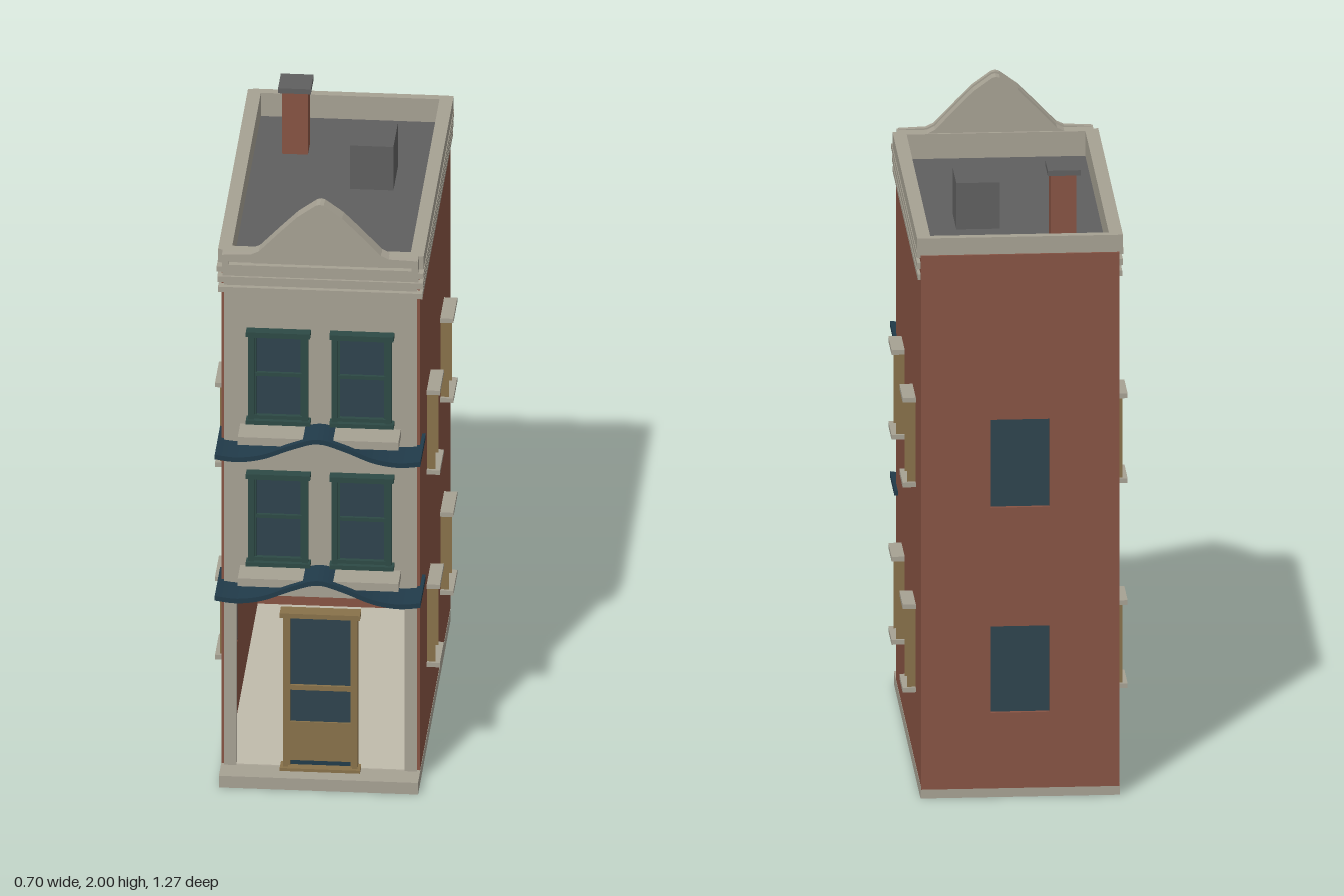
import * as THREE from 'three';

const mat = (name, color) => {
  const m = new THREE.MeshStandardMaterial({ color });
  m.name = name;
  return m;
};

export function createModel() {
  const brick = mat('brick', 0x875343);
  const stone = mat('stone', 0xa6a193);
  const pale = mat('pale floor', 0xc0bbab);
  const roofGrey = mat('roof grey', 0x5f5f5f);
  const glass = mat('window glass', 0x2e434d);
  const green = mat('dark green paint', 0x2d4a45);
  const tan = mat('tan wood', 0x88714a);
  const navy = mat('navy canopy', 0x213b4a);

  const root = new THREE.Group();
  root.name = 'townhouse';
  const group = (name, parent = root) => {
    const g = new THREE.Group();
    g.name = name;
    parent.add(g);
    return g;
  };
  const add = (name, geo, material, parent = root) => {
    const m = new THREE.Mesh(geo, material);
    m.name = name;
    parent.add(m);
    return m;
  };
  // box given by its limits on each axis
  const box = (name, material, [x0, x1], [y0, y1], [z0, z1], parent = root) => {
    const m = add(name, new THREE.BoxGeometry(x1 - x0, y1 - y0, z1 - z0), material, parent);
    m.position.set((x0 + x1) / 2, (y0 + y1) / 2, (z0 + z1) / 2);
    return m;
  };
  const rect = (Type, x0, x1, y0, y1) => new Type(
    [[x0, y0], [x1, y0], [x1, y1], [x0, y1]].map(p => new THREE.Vector2(...p)));
  const extrude = (shape, depth) => new THREE.ExtrudeGeometry(shape, { depth, bevelEnabled: false });
  // closed strip below a line of points
  const band = (pts, drop) => new THREE.Shape([
    ...pts, ...pts.slice().reverse().map(p => new THREE.Vector2(p.x, p.y - drop))]);

  // base and interior floor
  box('base', stone, [-0.31, 0.31], [0, 0.04], [-0.63, 0.6]);
  box('interiorFloor', pale, [-0.29, 0.29], [0.038, 0.043], [-0.615, 0.515]);

  // side walls with window openings
  const storeys = [[0.29, 0.545], [0.955, 1.215]];
  const windowZ = [0.185, -0.325];
  for (const s of [1, -1]) {
    const side = s > 0 ? 'left' : 'right';
    const wall = rect(THREE.Shape, -0.51, 0.63, 0.03, 1.76);
    for (const [y0, y1] of storeys) for (const z of windowZ) {
      wall.holes.push(rect(THREE.Path, -z - 0.052, -z + 0.052, y0, y1));
    }
    const w = add(side + 'Wall', extrude(wall, 0.02), brick);
    w.rotation.y = Math.PI / 2;
    w.position.x = s > 0 ? 0.289 : -0.309;

    // side window frames
    for (const [y0, y1] of storeys) for (const z of windowZ) {
      const g = group(side + 'Window');
      const span = (a, b) => s > 0 ? [a, b] : [-b, -a];
      box('pane', glass, span(0.29, 0.3), [y0 - 0.01, y1 + 0.01], [z - 0.06, z + 0.06], g);
      for (const d of [-1, 1]) {
        const c = z + d * 0.058;
        box('jamb', tan, span(0.298, 0.335), [y0, y1], [c - 0.007, c + 0.007], g);
      }
      box('lintel', stone, span(0.298, 0.35), [y1, y1 + 0.015], [z - 0.075, z + 0.075], g);
      box('sill', stone, span(0.298, 0.35), [y0 - 0.015, y0], [z - 0.075, z + 0.075], g);
    }
  }

  // back wall with two recessed windows
  const back = rect(THREE.Shape, -0.309, 0.309, 0.03, 1.76);
  for (const [y0, y1] of storeys) {
    back.holes.push(rect(THREE.Path, -0.092, 0.092, y0 - 0.015, y1 + 0.01));
    box('backWindowPane', glass, [-0.1, 0.1], [y0 - 0.02, y1 + 0.02], [-0.622, -0.613]);
  }
  add('backWall', extrude(back, 0.02), brick).position.z = -0.635;

  // stone front with open entry
  const front = new THREE.Shape([
    [-0.3, 0.04], [-0.262, 0.04], [-0.262, 0.63], [0.262, 0.63], [0.262, 0.04],
    [0.3, 0.04], [0.3, 1.77], [-0.3, 1.77]].map(p => new THREE.Vector2(...p)));
  add('facade', extrude(front, 0.03), stone).position.z = 0.49;

  // roof, parapet and cornice bands
  box('roof', roofGrey, [-0.29, 0.29], [1.71, 1.735], [-0.615, 0.495]);
  const parapet = rect(THREE.Shape, -0.305, 0.305, -0.53, 0.628);
  parapet.holes.push(rect(THREE.Path, -0.278, 0.278, -0.482, 0.6));
  const pp = add('parapet', extrude(parapet, 0.085), stone);
  pp.rotation.x = -Math.PI / 2;
  pp.position.y = 1.73;
  for (const [y0, y1, x] of [[1.68, 1.698, 0.318], [1.715, 1.735, 0.32], [1.752, 1.77, 0.322]]) {
    box('frontCornice', stone, [-x, x], [y0, y1], [0.49, x + 0.218]);
    for (const s of [-1, 1]) {
      box('sideCornice', stone, s > 0 ? [0.3, x] : [-x, -0.3], [y0, y1], [-0.625, 0.5]);
    }
  }
  for (const s of [-1, 1]) {
    box('parapetCap', stone, s > 0 ? [0.28, 0.32] : [-0.32, -0.28], [1.77, 1.815], [-0.625, 0.51]);
  }

  // curved pediment with raised edge
  const half = [[0.3, 1.817], [0.215, 1.82], [0.19, 1.832], [0.165, 1.858], [0.12, 1.905],
    [0.07, 1.955], [0.03, 1.984], [0.012, 1.997]];
  const crest = [...half.map(([x, y]) => [-x, y]), [0, 2], ...half.slice().reverse()]
    .map(p => new THREE.Vector2(...p));
  const face = crest.map(p => new THREE.Vector2(p.x, p.y - 0.006)).slice(1, -1);
  add('pediment', extrude(new THREE.Shape([
    new THREE.Vector2(-0.215, 1.74), new THREE.Vector2(0.215, 1.74), ...face.reverse()]), 0.043), stone)
    .position.z = 0.49;
  add('pedimentTrim', extrude(band(crest, 0.024), 0.02), stone).position.z = 0.53;
  box('pedimentFoot', stone, [-0.3, 0.3], [1.768, 1.782], [0.5, 0.55]);
  for (const s of [-1, 1]) {
    box('pedimentEnd', stone, [s * 0.295 - 0.01, s * 0.295 + 0.01], [1.77, 1.815], [0.5, 0.549]);
  }

  // roof hatch and chimney
  box('roofHatch', roofGrey, [0.04, 0.175], [1.73, 1.885], [-0.275, -0.11]);
  box('chimney', brick, [-0.19, -0.11], [1.73, 1.95], [-0.42, -0.34]);
  box('chimneyCap', roofGrey, [-0.202, -0.1], [1.95, 1.967], [-0.432, -0.327]);

  // front sash windows
  for (const y0 of [0.745, 1.235]) for (const s of [-1, 1]) {
    const g = group('frontWindow');
    g.position.set(s * 0.13, y0, 0);
    box('pane', glass, [-0.085, 0.085], [0.01, 0.31], [0.52, 0.526], g);
    for (const d of [-1, 1]) {
      box('jamb', green, [d * 0.084 - 0.009, d * 0.084 + 0.009], [0.01, 0.31], [0.515, 0.547], g);
      box('sashStile', green, [d * 0.073 - 0.004, d * 0.073 + 0.004], [0.01, 0.31], [0.515, 0.534], g);
    }
    box('head', green, [-0.1, 0.1], [0.302, 0.318], [0.515, 0.555], g);
    box('sashTop', green, [-0.085, 0.085], [0.293, 0.303], [0.515, 0.54], g);
    box('middleRail', green, [-0.08, 0.08], [0.16, 0.172], [0.515, 0.536], g);
    box('sashBottom', green, [-0.085, 0.085], [0.012, 0.026], [0.515, 0.54], g);
    box('sill', green, [-0.1, 0.1], [0, 0.014], [0.515, 0.555], g);
  }

  // wavy canopies with stone ledges above
  const wave = new THREE.SplineCurve([[-0.32, 1.166], [-0.25, 1.159], [-0.17, 1.172], [-0.08, 1.208],
    [0, 1.23], [0.08, 1.208], [0.17, 1.172], [0.25, 1.159], [0.32, 1.166]]
    .map(p => new THREE.Vector2(...p))).getPoints(40);
  for (const dy of [0, -0.488]) {
    const g = group('canopy');
    g.position.y = dy;
    add('canopySheet', extrude(band(wave, 0.016), 0.205), navy, g).position.z = 0.43;
    box('ledge', stone, [-0.25, 0.25], [1.193, 1.22], [0.51, 0.615], g);
  }

  // entry door
  const door = group('door');
  for (const d of [-1, 1]) {
    box('doorJamb', tan, [d * 0.108 - 0.008, d * 0.108 + 0.008], [0.04, 0.575], [0.5, 0.538], door);
    box('doorStile', tan, [d * 0.098 - 0.004, d * 0.098 + 0.004], [0.05, 0.57], [0.505, 0.528], door);
  }
  box('doorHead', tan, [-0.125, 0.125], [0.568, 0.584], [0.5, 0.55], door);
  box('doorLeaf', tan, [-0.1, 0.1], [0.045, 0.57], [0.505, 0.515], door);
  box('upperGlass', glass, [-0.095, 0.095], [0.326, 0.56], [0.514, 0.519], door);
  box('lowerGlass', glass, [-0.095, 0.095], [0.2, 0.312], [0.514, 0.519], door);
  box('doorRail', tan, [-0.1, 0.1], [0.311, 0.327], [0.505, 0.528], door);
  box('doorPanel', tan, [-0.1, 0.1], [0.067, 0.2], [0.505, 0.525], door);
  box('doorGap', navy, [-0.098, 0.098], [0.05, 0.066], [0.514, 0.519], door);
  box('threshold', tan, [-0.125, 0.125], [0.038, 0.05], [0.5, 0.55], door);

  return root;
}
